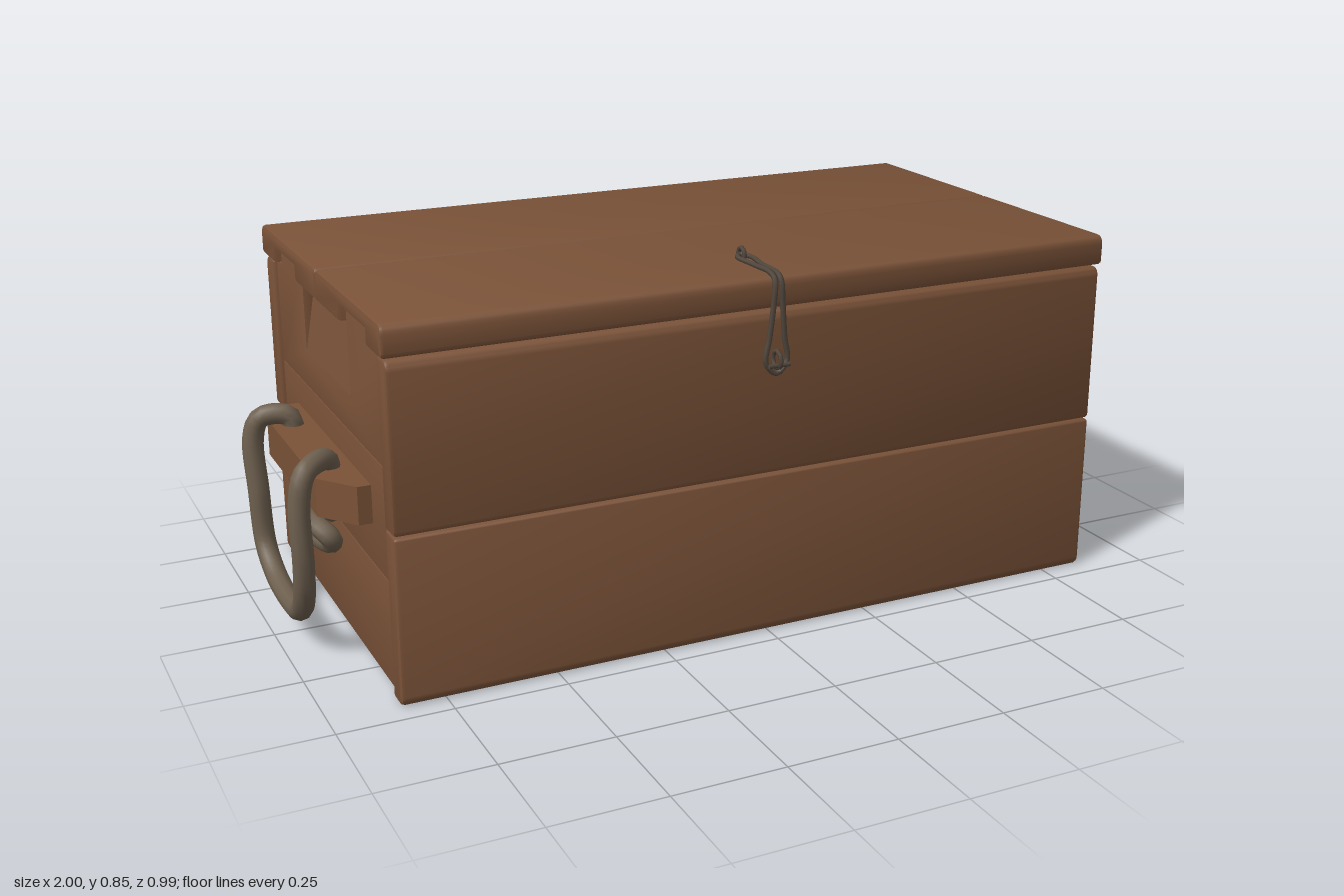
import * as THREE from 'three';
import { toCreasedNormals } from 'three/addons/utils/BufferGeometryUtils.js';

const wood = new THREE.MeshStandardMaterial({ color: 0x7a5238 });
wood.name = 'wood';
const rope = new THREE.MeshStandardMaterial({ color: 0x6e604f });
rope.name = 'rope';
const iron = new THREE.MeshStandardMaterial({ color: 0x51473d });
iron.name = 'iron';

function add(parent, name, geometry, material) {
  const mesh = new THREE.Mesh(geometry, material);
  mesh.name = name;
  parent.add(mesh);
  return mesh;
}

// Board running along x; its section is a list of [z, y, cornerRadius].
function board(section, x0, x1, bevel = 0.008) {
  const pts = section.map(([z, y]) => new THREE.Vector2(-z, y));
  const shape = new THREE.Shape();
  pts.forEach((p, i) => {
    const r = section[i][2] || 0;
    const toward = (q) => p.clone().add(q.clone().sub(p).setLength(r));
    const a = toward(pts[(i + pts.length - 1) % pts.length]);
    const b = toward(pts[(i + 1) % pts.length]);
    if (i === 0) shape.moveTo(a.x, a.y);
    else shape.lineTo(a.x, a.y);
    if (r) shape.quadraticCurveTo(p.x, p.y, b.x, b.y);
  });
  shape.closePath();
  const geo = new THREE.ExtrudeGeometry(shape, {
    depth: x1 - x0 - 2 * bevel, curveSegments: 5, bevelEnabled: bevel > 0,
    bevelThickness: bevel, bevelSize: bevel, bevelOffset: -bevel, bevelSegments: 2,
  });
  geo.rotateY(Math.PI / 2).translate(x0 + bevel, 0, 0);
  return toCreasedNormals(geo, 0.7);
}

const rect = (z0, z1, y0, y1, r = [0, 0, 0, 0]) =>
  [[z0, y0, r[0]], [z1, y0, r[1]], [z1, y1, r[2]], [z0, y1, r[3]]];

// Smooth tube through points given as [x, y, z].
function tube(points, radius, segments, sides, closed = false) {
  const curve = new THREE.CatmullRomCurve3(
    points.map((p) => new THREE.Vector3(...p)), closed, 'centripetal');
  return new THREE.TubeGeometry(curve, segments, radius, sides, closed);
}

// One end of the chest: boards, cleat and knotted rope handle, on the +x side.
function createEnd() {
  const end = new THREE.Group();
  end.name = 'end';
  const x0 = 0.795, x1 = 0.838;
  add(end, 'lowerEndBoard', board(rect(0.392, -0.428, 0.01, 0.249), x0, x1, 0.002), wood);
  add(end, 'middleEndBoard', board(rect(0.392, -0.428, 0.25, 0.499), x0, x1, 0.002), wood);
  // Upper board has two tabs that fit the lid and a sloping finger recess between them
  add(end, 'upperEndBoard', board([
    [0.392, 0.5], [-0.428, 0.5], [-0.428, 0.745], [-0.383, 0.745], [-0.383, 0.783],
    [-0.197, 0.783], [-0.197, 0.585], [0.157, 0.585], [0.157, 0.783],
    [0.348, 0.783], [0.348, 0.745], [0.392, 0.745],
  ], x0, x1, 0.002), wood);
  const wedge = new THREE.Shape([
    new THREE.Vector2(x0, 0.585), new THREE.Vector2(x1, 0.585),
    new THREE.Vector2(x1 - 0.028, 0.745), new THREE.Vector2(x0, 0.745)]);
  add(end, 'fingerRecess', new THREE.ExtrudeGeometry(wedge, { depth: 0.354, bevelEnabled: false })
    .translate(0, 0, -0.197), wood);

  // Cleat with chamfered ends
  const cleat = new THREE.Shape([
    [0.837, -0.275], [0.868, -0.275], [0.932, -0.19], [0.932, 0.225], [0.868, 0.31], [0.837, 0.31],
  ].map(([x, y]) => new THREE.Vector2(x, y)));
  add(end, 'cleat', new THREE.ExtrudeGeometry(cleat, { depth: 0.085, bevelEnabled: false })
    .rotateX(-Math.PI / 2).translate(0, 0.344, 0), wood);

  // Handle loop through both holes of the cleat, then the knot beneath it
  const loop = [
    [0.885, 0.34, 0.14], [0.885, 0.42, 0.13], [0.892, 0.447, 0.138], [0.92, 0.456, 0.165],
    [0.957, 0.442, 0.195], [0.972, 0.38, 0.2], [0.97, 0.25, 0.197], [0.966, 0.155, 0.165],
    [0.961, 0.098, 0.1], [0.958, 0.077, -0.02], [0.961, 0.096, -0.12], [0.966, 0.15, -0.178],
    [0.971, 0.28, -0.188], [0.973, 0.4, -0.196], [0.957, 0.446, -0.19], [0.92, 0.456, -0.178],
    [0.892, 0.447, -0.17], [0.885, 0.41, -0.168], [0.885, 0.34, -0.16],
  ];
  add(end, 'ropeHandle', tube(loop, 0.024, 90, 10), rope);
  const strandA = [
    [0.885, 0.345, 0.145], [0.882, 0.322, 0.12], [0.87, 0.308, 0.06], [0.868, 0.292, 0],
    [0.885, 0.262, -0.06], [0.892, 0.242, -0.1],
  ];
  const strandB = [
    [0.885, 0.345, -0.163], [0.882, 0.318, -0.13], [0.885, 0.292, -0.07], [0.905, 0.272, 0],
    [0.9, 0.267, 0.055], [0.88, 0.245, 0.08], [0.872, 0.22, 0.05], [0.885, 0.219, 0.015],
    [0.913, 0.25, -0.012], [0.915, 0.3, -0.025], [0.89, 0.318, -0.018], [0.868, 0.3, 0.02],
  ];
  [strandA, strandB].forEach((pts) => {
    add(end, 'knotStrand', tube(pts, 0.023, 50, 10), rope);
    const n = pts.length - 1;
    const tip = add(end, 'ropeTip', new THREE.CircleGeometry(0.023, 10), rope);
    const dir = new THREE.Vector3(...pts[n]).sub(new THREE.Vector3(...pts[n - 1])).normalize();
    tip.position.set(...pts[n]);
    tip.quaternion.setFromUnitVectors(new THREE.Vector3(0, 0, 1), dir);
  });
  return end;
}

// Wire hasp hooked over the front edge, held by two staples
function createHasp() {
  const hasp = new THREE.Group();
  hasp.name = 'hasp';
  const half = [
    [0.014, 0.83, 0.315], [0.009, 0.828, 0.38], [0.007, 0.826, 0.455], [0.007, 0.815, 0.472],
    [0.011, 0.76, 0.474], [0.018, 0.69, 0.471], [0.025, 0.635, 0.47],
  ];
  const path = [[0, 0.83, 0.296], ...half, [0, 0.61, 0.47],
    ...half.slice().reverse().map(([x, y, z]) => [-x, y, z])];
  add(hasp, 'haspWire', tube(path, 0.006, 90, 6, true), iron);
  const top = add(hasp, 'topStaple', new THREE.TorusGeometry(0.015, 0.005, 6, 8), iron);
  top.position.set(0, 0.833, 0.305);
  top.rotation.y = Math.PI / 2;
  const front = add(hasp, 'frontStaple', new THREE.TorusGeometry(0.019, 0.005, 6, 8), iron);
  front.position.set(0, 0.642, 0.473);
  front.rotation.y = Math.PI / 2;
  const pin = add(hasp, 'haspPin', new THREE.CylinderGeometry(0.005, 0.005, 0.05, 6), iron);
  pin.position.set(0, 0.632, 0.484);
  pin.rotation.z = Math.PI / 2;
  return hasp;
}

export function createModel() {
  const chest = new THREE.Group();
  chest.name = 'chest';

  // Front and back planks, rounded on the outer corners
  const R = 0.022, s = 0.01;
  add(chest, 'frontLowerPlank', board(rect(0.455, 0.395, 0.003, 0.376, [R, s, 0, s]), -0.848, 0.848), wood);
  add(chest, 'frontUpperPlank', board(rect(0.455, 0.395, 0.379, 0.745, [s, 0, s, R]), -0.848, 0.848), wood);
  add(chest, 'backLowerPlank', board(rect(-0.431, -0.491, 0.003, 0.376, [s, R, s, 0]), -0.848, 0.848), wood);
  add(chest, 'backUpperPlank', board(rect(-0.431, -0.491, 0.379, 0.745, [0, s, R, s]), -0.848, 0.848), wood);
  add(chest, 'bottomBoard', board(rect(0.396, -0.432, 0.01, 0.05), -0.8, 0.8, 0), wood);

  // Lid planks, grooved underneath for the tabs of the ends
  add(chest, 'frontLidPlank', board([
    [0.455, 0.75, s], [0.35, 0.75], [0.35, 0.786], [0.155, 0.786], [0.155, 0.75],
    [-0.0175, 0.75], [-0.0175, 0.819, s], [0.455, 0.819, R],
  ], -0.855, 0.855), wood);
  add(chest, 'backLidPlank', board([
    [-0.0205, 0.75], [-0.195, 0.75], [-0.195, 0.786], [-0.385, 0.786], [-0.385, 0.75],
    [-0.493, 0.75, s], [-0.493, 0.819, R], [-0.0205, 0.819, s],
  ], -0.855, 0.855), wood);

  // Both ends, mirrored
  const left = createEnd();
  left.name = 'leftEnd';
  const right = createEnd();
  right.name = 'rightEnd';
  right.scale.x = -1;
  chest.add(left, right, createHasp());
  return chest;
}
